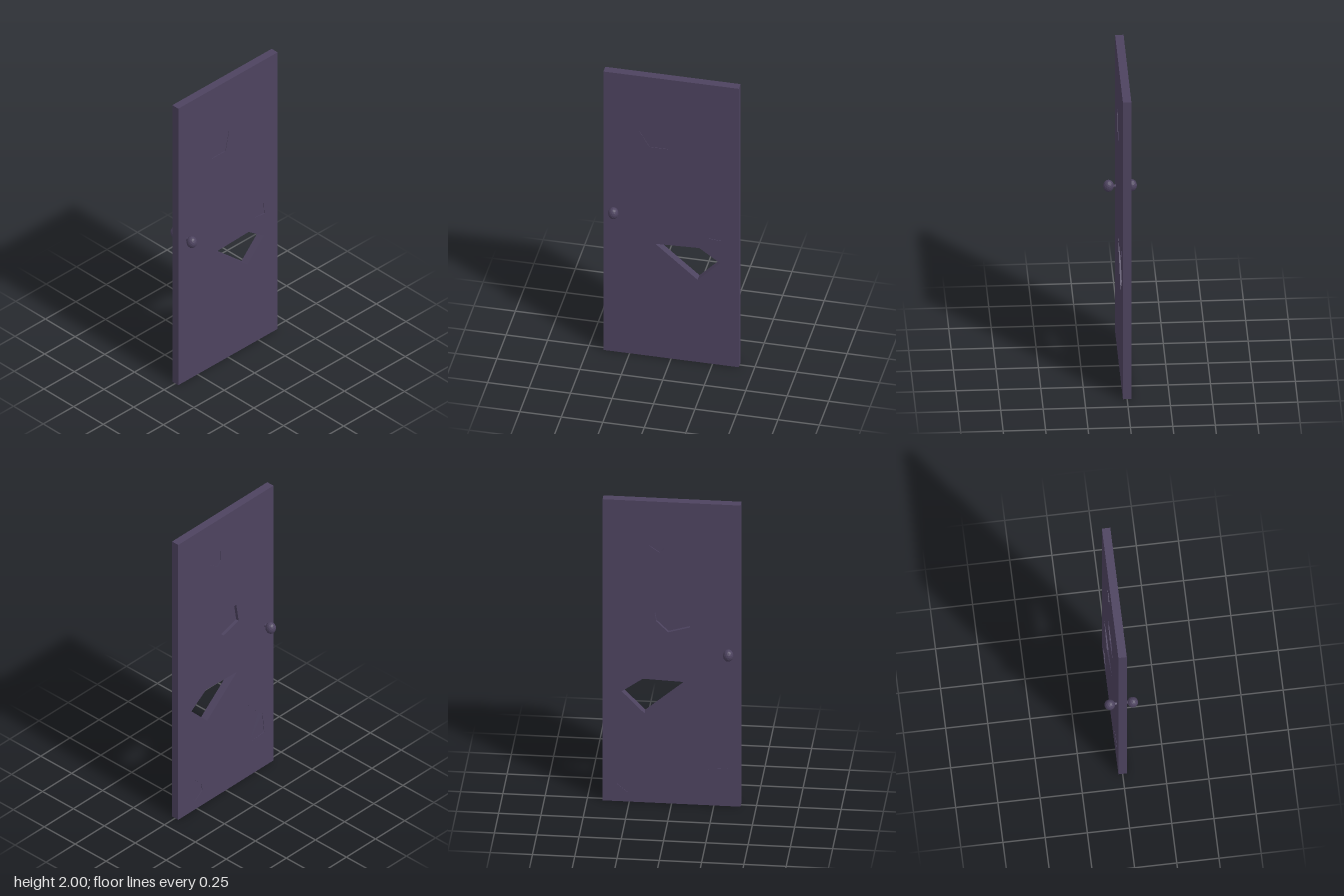
import * as THREE from 'three';
import { mergeGeometries } from 'three/addons/utils/BufferGeometryUtils.js';

const T = 0.025, W = 0.408, H = 2; // half thickness, half width, height

// All outlines are [z, y] points
const hole = [[0.095, 0.81], [-0.17, 0.82], [-0.295, 0.73], [-0.16, 0.59]];
const outline = [[-W, 0], [W, 0], [W, H], [-W, H]];

// Chipped dents on each face; d is the depth, or a depth for each corner
const dents = {
  right: [
    { d: 0.003, pts: [[-0.01, 1.63], [0.105, 1.665], [0.18, 1.64], [0.19, 1.6], [0.13, 1.5], [0.018, 1.5]] },
    { d: 0.003, pts: [[-0.295, 0.966], [-0.3, 0.89], [-0.225, 0.896]] },
  ],
  left: [
    { d: 0.004, pts: [[-0.04, 1.764], [-0.11, 1.747], [-0.13, 1.705], [-0.07, 1.663], [-0.04, 1.695]] },
    { d: 0.02, pts: [[0.09, 1.3], [-0.05, 1.31], [-0.1, 1.26], [-0.09, 1.205], [-0.02, 1.136], [0.11, 1.175]] },
    { d: [0, 0.003, 0.003, 0.003, 0], pts: [[0.16, 0.547], [0.28, 0.418], [0.315, 0.39], [0.33, 0.25], [0.2, 0.237]] },
    { d: 0.003, pts: [[-0.27, 0.222], [-0.33, 0.176], [-0.33, 0.12], [-0.26, 0.062], [-0.2, 0.108], [-0.21, 0.156]] },
  ],
};

// Points in a face's own plane, always counter-clockwise; depth kept with each corner
function toFace(pts, side, d = 0) {
  const list = pts.map(([z, y], i) => {
    const p = new THREE.Vector2(-side * z, y);
    p.depth = Array.isArray(d) ? d[i] : d;
    return p;
  });
  return THREE.ShapeUtils.isClockWise(list) ? list.reverse() : list;
}

// Band of quads going down from the face; faces inward for counter-clockwise points
function wall(pts) {
  const v = [];
  pts.forEach((a, i) => {
    const b = pts[(i + 1) % pts.length];
    const A = [a.x, a.y, 0], B = [b.x, b.y, 0];
    const C = [b.x, b.y, -b.depth], D = [a.x, a.y, -a.depth];
    v.push(...A, ...B, ...C, ...A, ...C, ...D);
  });
  const g = new THREE.BufferGeometry();
  g.setAttribute('position', new THREE.Float32BufferAttribute(v, 3));
  return g;
}

// Flat polygon, optionally with holes, lowered to its corner depths
function sheet(pts, holes = []) {
  const shape = new THREE.Shape(pts);
  shape.holes = holes.map((h) => new THREE.Path(h));
  const g = new THREE.ShapeGeometry(shape).toNonIndexed();
  const p = g.attributes.position;
  for (let i = 0; i < p.count; i++) {
    const c = pts.find((q) => Math.hypot(q.x - p.getX(i), q.y - p.getY(i)) < 1e-5);
    if (c) p.setZ(i, -c.depth);
  }
  g.deleteAttribute('uv');
  g.deleteAttribute('normal');
  return g;
}

function finish(geos, side) {
  const g = mergeGeometries(geos);
  g.computeVertexNormals();
  g.rotateY(side * Math.PI / 2);
  g.translate(side * T, 0, 0);
  return g;
}

export function createModel() {
  const model = new THREE.Group();
  model.name = 'door';
  const paint = new THREE.MeshStandardMaterial({ color: 0x4d435f, flatShading: true });
  paint.name = 'dusky purple';

  const add = (name, geometry) => {
    const mesh = new THREE.Mesh(geometry, paint);
    mesh.name = name;
    model.add(mesh);
    return mesh;
  };

  // Two faces with their dents
  for (const [name, side] of [['right', 1], ['left', -1]]) {
    const cuts = dents[name].map(({ pts, d }) => toFace(pts, side, d));
    const face = sheet(toFace(outline, side), [toFace(hole, side), ...cuts]);
    add(name + 'Face', finish([face], side));
    add(name + 'Dents', finish(cuts.flatMap((c) => [wall(c), sheet(c)]), side));
  }

  // Outer edges and the sides of the broken hole
  add('doorEdges', finish([wall(toFace(outline, 1, 2 * T).reverse())], 1));
  add('holeEdges', finish([wall(toFace(hole, 1, 2 * T))], 1));

  // A knob on a short stem on either side
  for (const [name, side] of [['right', 1], ['left', -1]]) {
    const knob = add(name + 'Knob', new THREE.IcosahedronGeometry(1, 2));
    knob.scale.set(0.032, 0.038, 0.031);
    knob.position.set(side * 0.068, 1.023, 0.339);
    const stem = add(name + 'Stem', new THREE.CylinderGeometry(0.01, 0.01, 0.025, 8, 1, true));
    stem.rotation.z = Math.PI / 2;
    stem.position.set(side * 0.0345, 1.023, 0.336);
  }
  return model;
}
